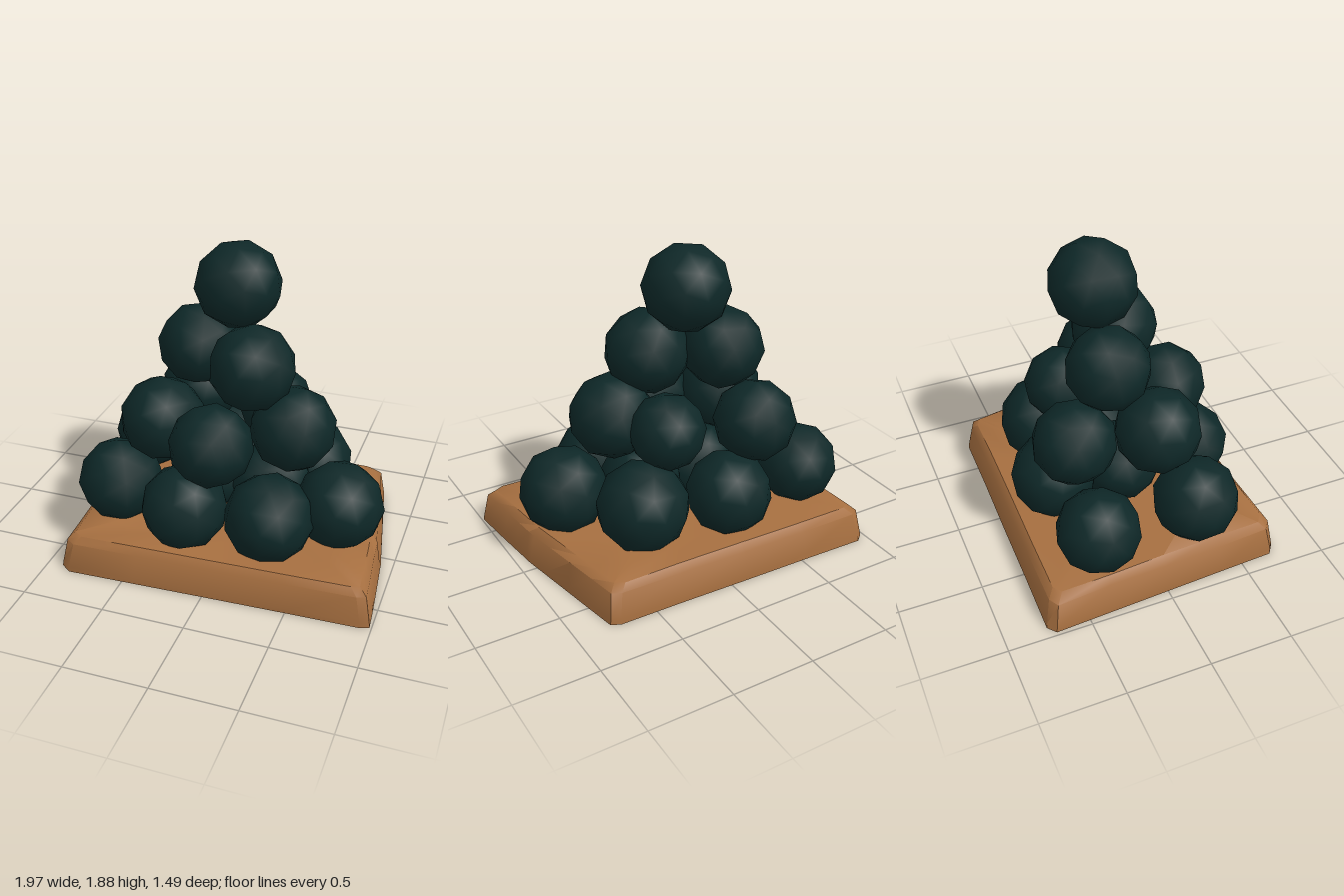
import * as THREE from 'three';
import { mergeVertices, toCreasedNormals } from 'three/addons/utils/BufferGeometryUtils.js';

const iron = new THREE.MeshStandardMaterial({ color: 0x0e2828 });
iron.name = 'dark iron';
const wood = new THREE.MeshStandardMaterial({ color: 0xa66f40 });
wood.name = 'brown wood';

// Stacked layers, each ball as [x, y, z, radius]
const layers = {
  bottomBall: [
    [-0.72, 0.43, -0.35, 0.25], [-0.68, 0.42, 0.28, 0.26], [-0.2, 0.42, 0.44, 0.26],
    [0.3, 0.4, 0.37, 0.27], [0.66, 0.41, 0.12, 0.27], [0.35, 0.42, -0.3, 0.28],
    [-0.17, 0.42, -0.42, 0.26], [-0.2, 0.42, 0, 0.25], [0.2, 0.42, 0, 0.25],
  ],
  secondBall: [
    [-0.38, 0.82, -0.36, 0.25], [-0.45, 0.81, 0.13, 0.26], [-0.06, 0.81, 0.35, 0.25],
    [0.35, 0.85, 0.07, 0.26], [0.15, 0.83, -0.24, 0.23],
  ],
  thirdBall: [[-0.3, 1.22, -0.12, 0.25], [0.1, 1.21, 0.08, 0.26]],
  topBall: [[-0.05, 1.635, -0.11, 0.26]],
};

function seeded(seed) {
  return () => (seed = (seed * 16807) % 2147483647) / 2147483647;
}

// Coarse sphere with smooth normals
function ballGeometry() {
  const g = new THREE.IcosahedronGeometry(1, 1);
  g.deleteAttribute('normal');
  g.deleteAttribute('uv');
  const merged = mergeVertices(g, 1e-4);
  merged.computeVertexNormals();
  return merged;
}

// Crooked slab: rounded outline lofted upward, with worn edges
function slabGeometry() {
  const rand = seeded(77);
  const corners = [[-0.98, -0.75], [-0.9, 0.74], [0.99, 0.68], [0.93, 0.1], [0.78, -0.72]];
  const outline = [];
  corners.forEach(([x, z], i) => {
    const [nx, nz] = corners[(i + 1) % corners.length];
    for (const t of [0.03, 0.25, 0.5, 0.75, 0.97])
      outline.push([x + (nx - x) * t, z + (nz - z) * t]);
  });
  const n = outline.length;
  // each ring: inset, height, roughness
  const rings = [[0, 0, 0.004], [0.002, 0.03, 0.008], [0.035, 0.185, 0.008],
    [0.08, 0.225, 0.008], [0.3, 0.238, 0.018], [0.6, 0.245, 0.02]];
  const pos = [];
  const index = [];
  rings.forEach(([inset, y, rough], r) => {
    outline.forEach(([x, z]) => {
      const jitter = (rand() - 0.5) * rough;
      pos.push(x * (1 - inset) + jitter, r ? y + jitter : 0, z * (1 - inset * 1.1) + jitter);
    });
  });
  for (let r = 0; r < rings.length - 1; r++)
    for (let i = 0; i < n; i++) {
      const a = r * n + i, b = r * n + (i + 1) % n;
      index.push(a, b, b + n, a, b + n, a + n);
    }
  // close the underside and the top
  const under = pos.length / 3;
  pos.push(0, 0, 0, 0, 0.245, 0);
  const last = (rings.length - 1) * n;
  for (let i = 0; i < n; i++) {
    const j = (i + 1) % n;
    index.push(under, j, i, under + 1, last + i, last + j);
  }
  const g = new THREE.BufferGeometry();
  g.setAttribute('position', new THREE.Float32BufferAttribute(pos, 3));
  g.setIndex(index);
  return toCreasedNormals(g, 0.7);
}

export function createModel() {
  const model = new THREE.Group();
  model.name = 'ballPyramid';

  const base = new THREE.Mesh(slabGeometry(), wood);
  base.name = 'base';
  model.add(base);

  // Balls, each turned differently
  const rand = seeded(1234);
  const geometry = ballGeometry();
  for (const [name, balls] of Object.entries(layers))
    balls.forEach(([x, y, z, r], i) => {
      const ball = new THREE.Mesh(geometry, iron);
      ball.name = name + (i + 1);
      ball.position.set(x, y, z);
      ball.scale.setScalar(r);
      ball.rotation.set(rand() * 6, rand() * 6, rand() * 6);
      model.add(ball);
    });
  return model;
}
